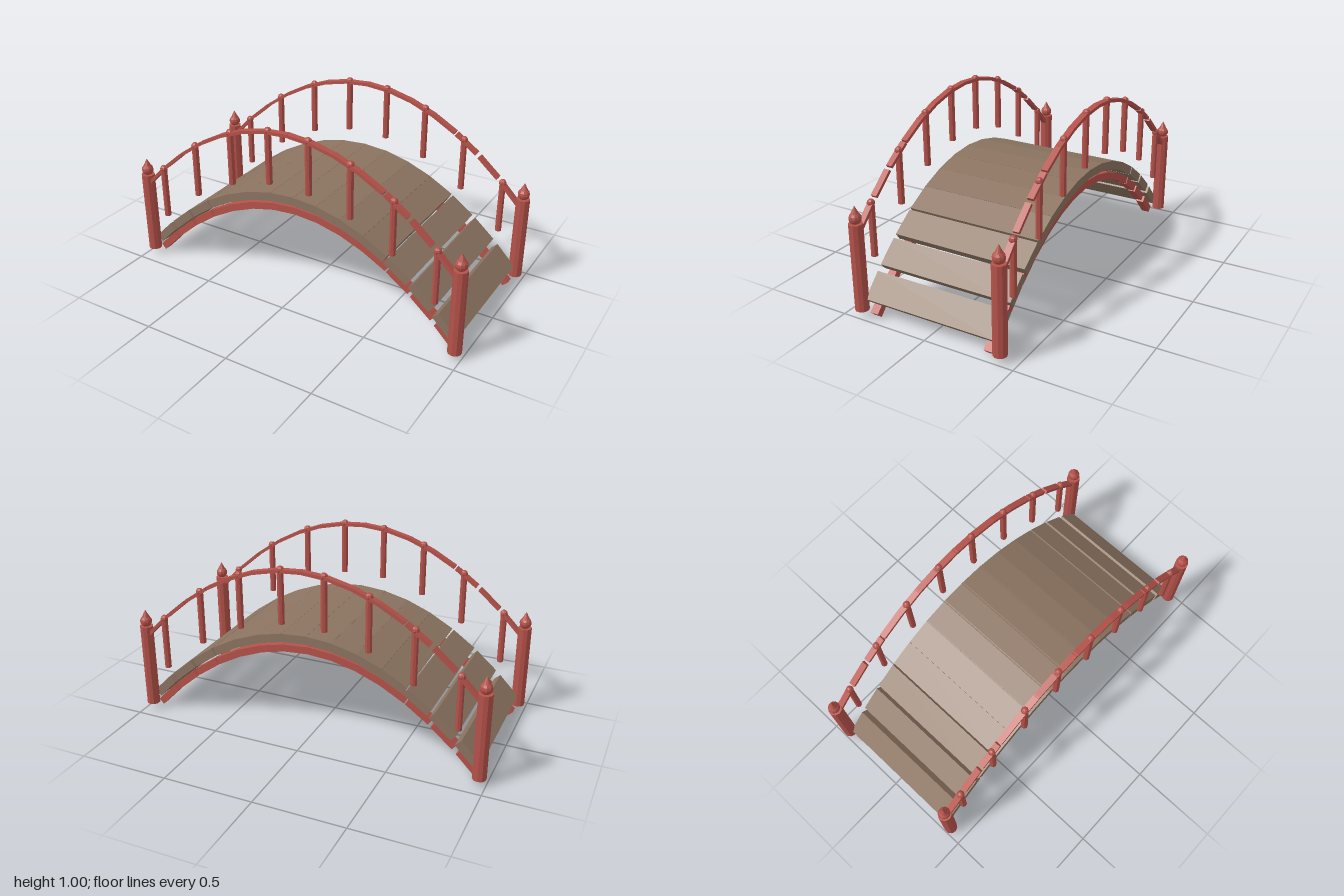
import * as THREE from 'three';

const HALF = 0.96, Z_RAIL = 0.41, SEGMENTS = 14, SEG_LENGTH = 0.154;
const red = new THREE.MeshStandardMaterial({ color: 0xb5524a, flatShading: true });
const wood = new THREE.MeshStandardMaterial({ color: 0x8b7360, flatShading: true });

// Parabolic arch shared by deck, beams and handrails
const RISE = 0.528;
const archY = (x) => 0.065 + RISE * (1 - (x / HALF) ** 2);
const archAngle = (x) => Math.atan((-2 * RISE * x) / HALF ** 2);

export function createModel() {
  const model = new THREE.Group();

  function add(parent, name, geometry, material, x, y, z) {
    const mesh = new THREE.Mesh(geometry, material);
    mesh.name = name;
    mesh.position.set(x, y, z);
    parent.add(mesh);
    return mesh;
  }

  // A row of equal straight boxes tilted along the arch
  function archRow(groupName, name, thickness, width, material, lift, z) {
    const group = new THREE.Group();
    group.name = groupName;
    const geometry = new THREE.BoxGeometry(SEG_LENGTH, thickness, width);
    const step = (2 * HALF) / SEGMENTS;
    for (let i = 0; i < SEGMENTS; i++) {
      const x = -HALF + (i + 0.5) * step;
      add(group, name, geometry, material, x, archY(x) + lift, z).rotation.z = archAngle(x);
    }
    model.add(group);
  }

  archRow('deck', 'plank', 0.047, 0.77, wood, 0, 0);

  const balusterGeo = new THREE.CylinderGeometry(0.018, 0.018, 0.295, 8);
  const knobGeo = new THREE.SphereGeometry(0.021, 8, 6);
  const postGeo = new THREE.CylinderGeometry(0.037, 0.037, 0.48, 10);
  const bulbGeo = new THREE.SphereGeometry(0.033, 10, 8);
  const tipGeo = new THREE.ConeGeometry(0.026, 0.052, 10);

  for (const side of [1, -1]) {
    const label = side > 0 ? 'front' : 'back';
    const z = side * Z_RAIL;

    archRow(label + 'Beam', 'beamSegment', 0.04, 0.046, red, -0.069, side * 0.338);
    archRow(label + 'Handrail', 'railSegment', 0.018, 0.034, red, 0.384, z);

    // Balusters with round knobs
    const balusters = new THREE.Group();
    balusters.name = label + 'Balusters';
    for (let i = 0; i < 8; i++) {
      const x = -0.84 + i * 0.24;
      add(balusters, 'baluster', balusterGeo, red, x, archY(x) + 0.2425, z);
      add(balusters, 'balusterKnob', knobGeo, red, x, archY(x) + 0.39, z);
    }
    model.add(balusters);

    // End posts with pointed finials
    for (const end of [1, -1]) {
      const post = new THREE.Group();
      post.name = label + (end > 0 ? 'Left' : 'Right') + 'EndPost';
      post.position.set(end * 0.963, 0, z);
      add(post, 'postShaft', postGeo, red, 0, 0.275, 0);
      add(post, 'postBulb', bulbGeo, red, 0, 0.543, 0);
      add(post, 'postTip', tipGeo, red, 0, 0.584, 0);
      model.add(post);
    }
  }
  return model;
}
